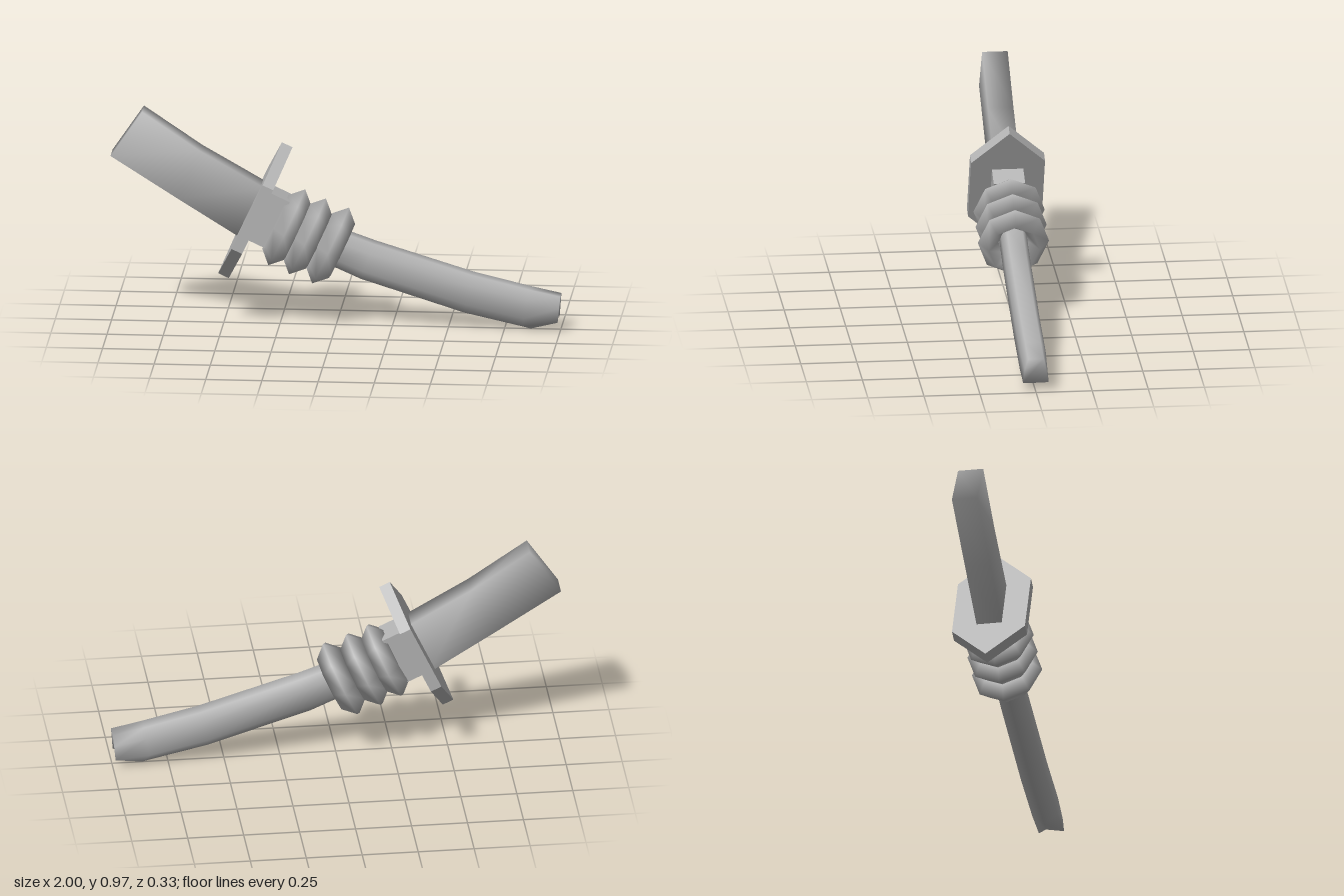
import * as THREE from 'three';

const grey = new THREE.MeshStandardMaterial({ color: 0xb4b4b4 });
grey.name = 'grey';

// Closed solid through equal loops of [x, y, z], smooth shaded, with capped ends
function loft(loops) {
  const n = loops[0].length;
  const pos = loops.flat(2);
  const index = [];
  for (let i = 0; i < loops.length - 1; i++) {
    for (let j = 0; j < n; j++) {
      const a = i * n + j, b = i * n + (j + 1) % n;
      index.push(a, b, a + n, b, b + n, a + n);
    }
  }
  const last = (loops.length - 1) * n;
  for (let j = 1; j < n - 1; j++) {
    index.push(0, j + 1, j);
    index.push(last, last + j, last + j + 1);
  }
  const geo = new THREE.BufferGeometry();
  geo.setAttribute('position', new THREE.Float32BufferAttribute(pos, 3));
  geo.setIndex(index);
  geo.computeVertexNormals();
  return geo;
}

// Places a section of [height 0..1, z] between a top and a bottom point
const station = (section, [tx, ty, bx, by]) =>
  section.map(([t, z]) => [bx + (tx - bx) * t, by + (ty - by) * t, z]);

export function createModel() {
  const model = new THREE.Group();
  const add = (name, geo, parent = model) => {
    const mesh = new THREE.Mesh(geo, grey);
    mesh.name = name;
    parent.add(mesh);
    return mesh;
  };

  // Curved rectangular blade
  const bladeSection = [[1, -0.057], [1, 0.057], [0, 0.057], [0, -0.057]];
  add('blade', loft([
    [-0.86, 0.975, -1, 0.77],
    [-0.6, 0.8, -0.7, 0.58],
    [-0.31, 0.635, -0.41, 0.4],
  ].map((s) => station(bladeSection, s))));

  // Curved grip with a keeled underside and a slanted tip
  const gripSection = [[1, -0.035], [1, 0.035], [0.75, 0.057], [0.28, 0.057],
    [0, 0], [0.28, -0.057], [0.75, -0.057]];
  const grip = [
    [-0.2, 0.53, -0.28, 0.37],
    [0, 0.445, -0.06, 0.29],
    [0.17, 0.385, 0.11, 0.215],
    [0.61, 0.25, 0.57, 0.07],
    [0.86, 0.19, 0.83, 0.012],
  ].map((s) => station(gripSection, s));
  grip.push([[1, 0.16, -0.035], [1, 0.16, 0.035], [0.995, 0.11, 0.05], [0.99, 0.047, 0.057],
    [0.865, 0.003, 0], [0.99, 0.047, -0.057], [0.995, 0.11, -0.05]]);
  add('grip', loft(grip));

  // Tilted assembly: guard, collar and binding rings
  const tilt = -0.438;
  const hilt = new THREE.Group();
  hilt.name = 'hilt';
  hilt.position.set(-0.36, 0.52, 0);
  hilt.rotation.z = tilt;
  model.add(hilt);

  const hexagon = new THREE.Shape([[0, -0.335], [0.165, -0.163], [0.165, 0.163],
    [0, 0.335], [-0.165, 0.163], [-0.165, -0.163]].map((p) => new THREE.Vector2(...p)));
  const guard = new THREE.ExtrudeGeometry(hexagon, { depth: 0.052, bevelEnabled: false });
  guard.translate(0, 0, -0.026).rotateY(Math.PI / 2);
  add('guard', guard, hilt);

  add('collar', new THREE.BoxGeometry(0.12, 0.24, 0.14).translate(0.06, 0, 0), hilt);

  [[-0.22, 0.445], [-0.128, 0.405], [-0.025, 0.365]].forEach(([x, y], i) => {
    const geo = new THREE.TorusGeometry(0.138, 0.056, 4, 8).rotateY(Math.PI / 2);
    const ring = add('bindingRing' + (i + 1), geo.scale(1, 1, 0.82));
    ring.position.set(x, y, 0);
    ring.rotation.z = tilt;
  });

  return model;
}
